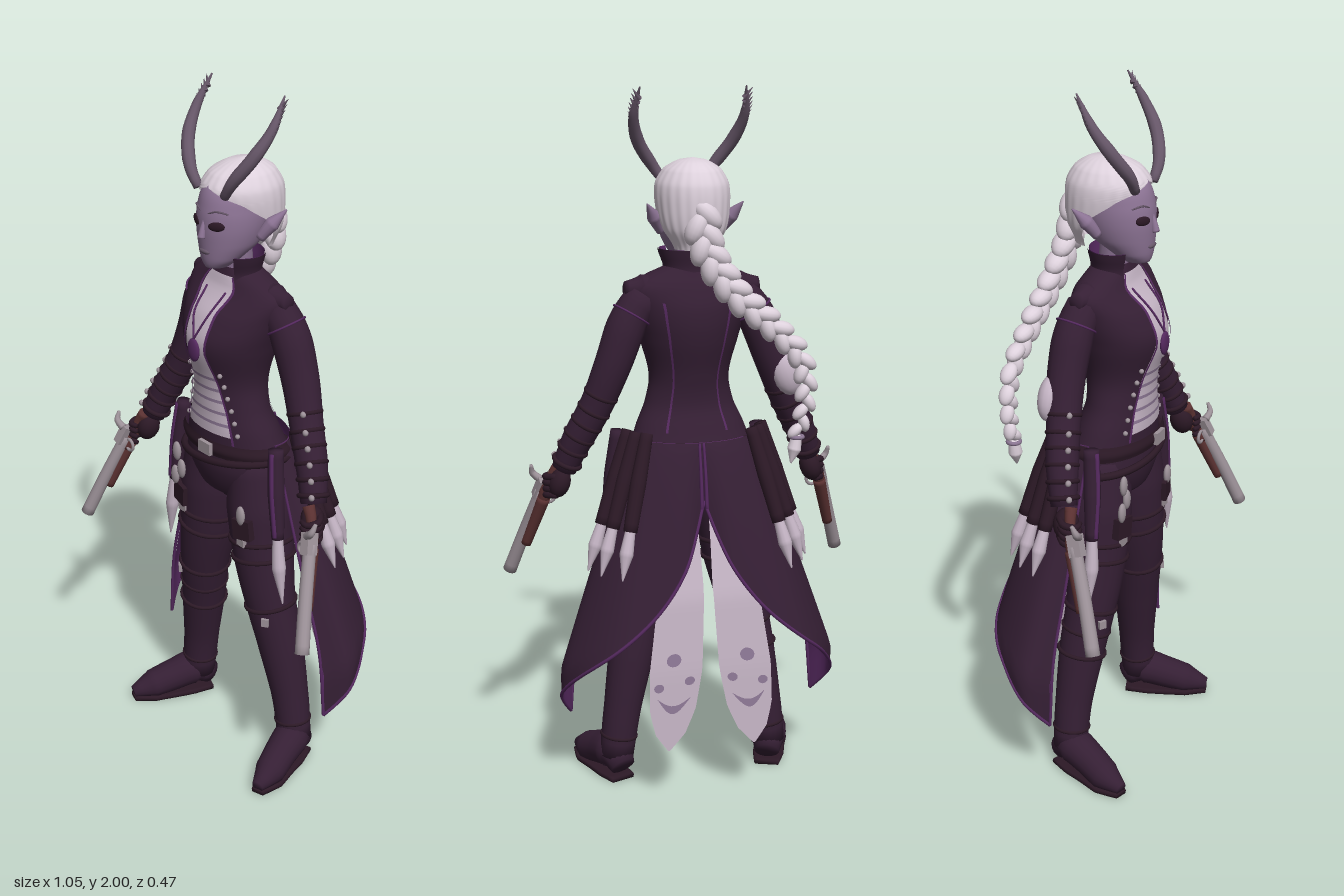
import * as THREE from 'three';
import { mergeVertices } from 'three/addons/utils/BufferGeometryUtils.js';
const V = (p) => new THREE.Vector3(...p);
const { lerp, clamp } = THREE.MathUtils;
const curveOf = (points) => new THREE.CatmullRomCurve3(points.map(V));
function makeMat(name, color, open) {
  const m = new THREE.MeshStandardMaterial({ color });
  m.name = name;
  if (open) m.side = THREE.DoubleSide;
  return m;
}
// piecewise linear lookup in [[x, value], ...]
function lin(table, x) {
  for (let i = 0; i < table.length - 1; i++) {
    const [a, p] = table[i], [b, q] = table[i + 1];
    if (x <= b) return lerp(p, q, clamp((x - a) / (b - a), 0, 1));
  }
  return table[table.length - 1][1];
}
function smooth(g) {
  g.deleteAttribute('normal');
  g.deleteAttribute('uv');
  g = mergeVertices(g, 1e-5);
  g.computeVertexNormals();
  return g;
}
// surface from a function of u and v; its front is du x dv
function grid(fn, nu, nv, flip) {
  const pos = [], idx = [];
  for (let j = 0; j <= nv; j++) for (let i = 0; i <= nu; i++) pos.push(...fn(i / nu, j / nv));
  for (let j = 0; j < nv; j++) for (let i = 0; i < nu; i++) {
    const a = j * (nu + 1) + i, b = a + 1, c = a + nu + 1, d = c + 1;
    idx.push(...(flip ? [a, d, b, a, c, d] : [a, b, d, a, d, c]));
  }
  const g = new THREE.BufferGeometry();
  g.setAttribute('position', new THREE.Float32BufferAttribute(pos, 3));
  g.setIndex(idx);
  return smooth(g);
}
// body from level ellipses [y, centre z, half width, half depth]; angle 0 is the front
function ellipseAt(rows, y, grow) {
  let i = 0;
  while (i < rows.length - 2 && y > rows[i + 1][0]) i++;
  const t = (y - rows[i][0]) / (rows[i + 1][0] - rows[i][0]), t2 = t * t, t3 = t2 * t;
  return [1, 2, 3].map((k) => {
    const p = [i - 1, i, i + 1, i + 2].map((n) => rows[clamp(n, 0, rows.length - 1)][k]);
    const v = (2 * t3 - 3 * t2 + 1) * p[1] + (t3 - 2 * t2 + t) * (p[2] - p[0]) / 2 + (3 * t2 - 2 * t3) * p[2] + (t3 - t2) * (p[3] - p[1]) / 2;
    return k === 1 ? v : Math.max(0.001, v + grow);
  });
}
function loft(rows, { y0 = rows[0][0], y1 = rows[rows.length - 1][0], lo = () => 0, hi = () => Math.PI * 2, grow = 0, ridge = 0, nu = 40, nv = 40 } = {}) {
  return grid((u, v) => {
    const y = lerp(y0, y1, v), a = lerp(lo(y), hi(y), u), [cz, rx, rz] = ellipseAt(rows, y, grow);
    const k = 1 + ridge * Math.cos(a * 22);
    return [rx * k * Math.sin(a), y, cz + rz * k * Math.cos(a)];
  }, nu, nv);
}
// tapered rod along a curve with closed ends
function sweep(points, radii, n = 12, seg = 24) {
  const c = curveOf(points), g = new THREE.TubeGeometry(c, seg, 1, n), p = g.attributes.position, v = new THREE.Vector3();
  const rt = radii.map((r, i) => [i / (radii.length - 1), r]);
  for (let k = 0; k < p.count; k++) {
    const ring = Math.floor(k / (n + 1)), t = ring / seg;
    const end = ring <= 1 ? 0 : ring >= seg - 1 ? 1 : t;
    const r = ring === 0 || ring === seg ? 0 : lin(rt, end);
    v.fromBufferAttribute(p, k).sub(c.getPointAt(t)).multiplyScalar(r).add(c.getPointAt(end));
    p.setXYZ(k, v.x, v.y, v.z);
  }
  return smooth(g);
}
const put = (g, pos, scale = [1, 1, 1], rot = [0, 0, 0]) =>
  g.applyMatrix4(new THREE.Matrix4().compose(V(pos), new THREE.Quaternion().setFromEuler(new THREE.Euler(...rot)), V(scale)));
const ball = (pos, scale, rot) => put(new THREE.SphereGeometry(1, 16, 10), pos, scale, rot);
const box = (pos, size, rot) => put(new THREE.BoxGeometry(...size), pos, undefined, rot);
function ringAt(points, t, R, r) {
  const c = curveOf(points), p = c.getPointAt(t), g = new THREE.TorusGeometry(R, r, 8, 24);
  return g.applyQuaternion(new THREE.Quaternion().setFromUnitVectors(V([0, 0, 1]), c.getTangentAt(t))).translate(p.x, p.y, p.z);
}
// coat tail: u runs from the middle of the back round to the front edge, along this hem
const hemCurve = curveOf([[0, 0.87, -0.165], [0.07, 0.7, -0.238], [0.17, 0.57, -0.246], [0.28, 0.47, -0.222], [0.365, 0.38, -0.14], [0.402, 0.3, -0.06], [0.365, 0.22, 0.005]]);
function coatAt(u, y, off = 0) {
  const a = Math.PI * (1 - 0.54 * u), h = hemCurve.getPoint(u);
  const f = Math.pow(clamp((1.03 - y) / lerp(0.5, 0.68, u), 0, 1), lerp(0.7, 1, u));
  return [Math.max(0, lerp(0.175 * Math.sin(a), h.x, f) + off * Math.sin(a)), y, lerp(0.02 + 0.12 * Math.cos(a), h.z, f) + off * Math.cos(a)];
}
const tail = (off) => (u, v) => coatAt(u, lerp(1.03, hemCurve.getPoint(u).y, v), off);
// pale hanging panel behind the legs
function panelAt(u, v, dz = 0) {
  const y = lerp(0.95, 0.17, v);
  const c = lin([[0, 0.05], [0.5, 0.085], [0.8, 0.108], [1, 0.125]], v);
  const w = lin([[0, 0.03], [0.4, 0.065], [0.7, 0.076], [0.85, 0.066], [0.94, 0.042], [1, 0.003]], v);
  return [c + (u * 2 - 1) * w, y, lin([[0.17, -0.228], [0.4, -0.214], [0.6, -0.19], [0.75, -0.145], [0.95, -0.07]], y) + dz];
}

export function createModel() {
  const M = {
    coat: makeMat('dark plum cloth', 0x351f34), purple: makeMat('purple lining', 0x55295f, true),
    skin: makeMat('lilac skin', 0x8d7495), hair: makeMat('silver hair', 0xddd1dc, true),
    pale: makeMat('pale fabric', 0xc4b4c4, true), spot: makeMat('mauve markings', 0x8d7895, true),
    leather: makeMat('dark leather', 0x2c1926), metal: makeMat('dull metal', 0x9d9299),
    wood: makeMat('red wood', 0x5c3232), horn: makeMat('grey horn', 0x675769),
  };
  const model = new THREE.Group();
  const add = (name, g, mat) => {
    const m = new THREE.Mesh(g, mat);
    m.name = name;
    model.add(m);
  };
  const pair = (name, g, mat) => {
    const h = g.clone().scale(-1, 1, 1), ix = h.index ? h.index.array : [];
    for (let i = 0; i < ix.length; i += 3) [ix[i], ix[i + 1]] = [ix[i + 1], ix[i]];
    add(name + 'Left', g, mat);
    add(name + 'Right', h, mat);
  };

  // torso: jacket, shirt front, seams
  const torso = [[0.98, 0.025, 0.18, 0.115], [1.06, 0.04, 0.155, 0.1], [1.12, 0.05, 0.128, 0.09], [1.2, 0.05, 0.115, 0.097],
    [1.32, 0.05, 0.145, 0.125], [1.4, 0.035, 0.168, 0.112], [1.46, 0.02, 0.18, 0.078], [1.49, 0.022, 0.13, 0.062], [1.52, 0.025, 0.06, 0.05]];
  add('jacket', loft(torso), M.coat);
  const open = (y) => lin([[1.05, 0.62], [1.12, 0.62], [1.2, 0.5], [1.3, 0.28], [1.42, 0.28], [1.5, 0.42]], y);
  add('shirtFront', loft(torso, { y0: 1.05, y1: 1.5, lo: (y) => -open(y), hi: open, grow: 0.004, nu: 16 }), M.pale);
  for (let y = 1.08; y < 1.24; y += 0.034)
    add('shirtBand', loft(torso, { y0: y, y1: y + 0.009, lo: (q) => -open(q), hi: open, grow: 0.007, nu: 12, nv: 1 }), M.spot);
  pair('jacketEdge', loft(torso, { y0: 1.03, y1: 1.5, lo: (y) => open(y) - 0.02, hi: (y) => open(y) + 0.03, grow: 0.008, nu: 2 }), M.purple);
  pair('backSeam', loft(torso, { y0: 1.05, y1: 1.42, lo: () => 2.55, hi: () => 2.6, grow: 0.003, nu: 1 }), M.purple);
  for (let y = 1.06; y < 1.25; y += 0.035) {
    const a = open(y) + 0.13, [cz, rx, rz] = ellipseAt(torso, y, 0.004);
    pair('button', ball([rx * Math.sin(a), y, cz + rz * Math.cos(a)], [0.007, 0.007, 0.007]), M.metal);
  }
  pair('necklace', sweep([[0.04, 1.46, 0.1], [0.028, 1.4, 0.155], [0, 1.335, 0.18]], [0.003, 0.003], 6, 12), M.purple);
  add('pendant', ball([0, 1.302, 0.181], [0.024, 0.034, 0.009]), M.purple);

  // neck and standing collar
  add('neck', sweep([[0, 1.44, 0.03], [0, 1.52, 0.03], [0, 1.6, 0.04]], [0.055, 0.045, 0.048]), M.skin);
  const collar = [[1.45, 0.025, 0.1, 0.075], [1.5, 0.03, 0.076, 0.064], [1.56, 0.034, 0.092, 0.076]];
  const span = { lo: () => 0.72, hi: () => Math.PI * 2 - 0.72, nv: 8 };
  add('collar', loft(collar, span), M.coat);
  add('collarLining', loft(collar, { ...span, grow: -0.004 }), M.purple);

  // head and face
  add('head', loft([[1.522, 0.1, 0.006, 0.008], [1.528, 0.095, 0.03, 0.036], [1.55, 0.082, 0.054, 0.057], [1.59, 0.055, 0.078, 0.088],
    [1.64, 0.043, 0.091, 0.102], [1.69, 0.035, 0.093, 0.105], [1.74, 0.024, 0.084, 0.096], [1.785, 0.012, 0.04, 0.05]]), M.skin);
  add('nose', sweep([[0, 1.665, 0.138], [0, 1.635, 0.146], [0, 1.615, 0.15]], [0.005, 0.008, 0.011]), M.skin);
  add('lips', ball([0, 1.576, 0.14], [0.021, 0.007, 0.007]), M.horn);
  pair('eye', ball([0.042, 1.653, 0.132], [0.025, 0.013, 0.006], [0, 0.42, 0.12]), M.leather);
  pair('brow', sweep([[0.015, 1.684, 0.138], [0.042, 1.694, 0.131], [0.066, 1.688, 0.111]], [0.002, 0.003, 0.002], 6), M.horn);
  pair('ear', sweep([[0.085, 1.61, 0.02], [0.106, 1.645, 0.002], [0.135, 1.69, -0.03]], [0.014, 0.02, 0.002]), M.skin);

  // swept hair and braid
  const face = (y) => lin([[1.6, 1.75], [1.66, 1.5], [1.71, 0.95], [1.735, 0.4], [1.75, 0]], y);
  add('hair', loft([[1.565, -0.02, 0.06, 0.065], [1.62, -0.012, 0.09, 0.092], [1.68, 0.004, 0.102, 0.115], [1.74, 0.012, 0.101, 0.118],
    [1.78, 0.01, 0.078, 0.092], [1.803, 0.005, 0.042, 0.05], [1.81, 0.004, 0.002, 0.002]],
  { lo: face, hi: (y) => Math.PI * 2 - face(y), ridge: 0.008, nu: 110 }), M.hair);
  const braid = curveOf([[0, 1.66, -0.09], [-0.02, 1.56, -0.105], [-0.09, 1.45, -0.125], [-0.19, 1.36, -0.135], [-0.275, 1.26, -0.145], [-0.285, 1.14, -0.15], [-0.265, 1.06, -0.15]]);
  for (let i = 0; i < 26; i++) {
    const t = i / 25, p = braid.getPointAt(t), d = braid.getTangentAt(t), r = lerp(0.036, 0.018, t), s = i % 2 ? 1 : -1;
    add('braidStrand', ball([p.x - d.y * s * r * 0.5, p.y + d.x * s * r * 0.5, p.z], [r * 0.85, r * 1.45, r], [0, 0, Math.atan2(d.y, d.x) - Math.PI / 2 + s * 0.55]), M.hair);
  }
  add('braidTie', put(new THREE.TorusGeometry(0.017, 0.006, 8, 16), [-0.262, 1.045, -0.15], undefined, [Math.PI / 2, 0, 0]), M.spot);
  add('braidEnd', sweep([[-0.262, 1.05, -0.15], [-0.255, 1.01, -0.15], [-0.245, 0.97, -0.152]], [0.014, 0.02, 0.002]), M.hair);

  // feathered horns
  const hornPts = [[0.055, 1.735, 0.115], [0.088, 1.78, 0.115], [0.135, 1.85, 0.085], [0.156, 1.92, 0.04], [0.148, 2.0, -0.008]];
  pair('horn', sweep(hornPts, [0.013, 0.018, 0.018, 0.013, 0.002], 10, 32), M.horn);
  for (let t = 0.15; t < 0.94; t += 0.045) {
    const p = curveOf(hornPts).getPointAt(t), r = 0.018 * (1 - t * 0.6);
    pair('hornBarb', put(new THREE.ConeGeometry(0.008, 0.04, 5), [p.x + r * 0.7, p.y + 0.006, p.z - r * 0.5], undefined, [-0.4, 0, -0.6]), M.horn);
  }

  // sleeves, bracers, gloves
  const arm = [[0.14, 1.43, 0.01], [0.182, 1.37, 0], [0.228, 1.25, -0.003], [0.275, 1.13, 0.012], [0.33, 1.02, 0.037], [0.362, 0.94, 0.058]];
  pair('sleeve', sweep(arm, [0.05, 0.056, 0.052, 0.047, 0.045, 0.036], 16, 32), M.coat);
  pair('shoulder', sweep([[0.09, 1.462, 0.015], [0.145, 1.452, 0.012], [0.192, 1.455, 0.008]], [0.03, 0.04, 0.02], 14), M.coat);
  pair('shoulderTrim', ringAt(arm, 0.11, 0.055, 0.003), M.purple);
  [0.55, 0.64, 0.72, 0.8, 0.88, 0.96].forEach((t, i) => {
    const p = curveOf(arm).getPointAt(t);
    pair('bracerStrap', ringAt(arm, t, 0.044 - i * 0.001, 0.007), M.leather);
    pair('bracerStud', ball([p.x + 0.03, p.y + 0.014, p.z + 0.033], [0.009, 0.009, 0.008]), M.metal);
  });
  add('elbowWrap', ball([-0.264, 1.2, -0.032], [0.042, 0.065, 0.034], [0, 0, -0.35]), M.pale);
  pair('glove', ball([0.374, 0.895, 0.07], [0.031, 0.045, 0.036], [0, 0, 0.3]), M.leather);
  for (let y = 0.915; y > 0.86; y -= 0.018)
    pair('finger', sweep([[0.385, y, 0.055], [0.412, y - 0.005, 0.085], [0.4, y - 0.008, 0.115], [0.375, y - 0.008, 0.112]], [0.01, 0.01, 0.009, 0.007], 8, 12), M.leather);

  // pistols
  pair('pistolGrip', sweep([[0.372, 0.945, 0.085], [0.388, 0.92, 0.09], [0.404, 0.88, 0.1], [0.422, 0.82, 0.118]], [0.017, 0.014, 0.018, 0.018]), M.wood);
  pair('pistolStock', sweep([[0.415, 0.84, 0.108], [0.462, 0.69, 0.162]], [0.019, 0.015]), M.wood);
  pair('pistolBarrel', sweep([[0.42, 0.86, 0.12], [0.462, 0.73, 0.17], [0.505, 0.595, 0.217]], [0.018, 0.019, 0.02], 14), M.metal);
  pair('pistolLock', box([0.422, 0.865, 0.125], [0.028, 0.06, 0.038], [-0.35, 0, 0.3]), M.metal);
  pair('pistolHammer', sweep([[0.42, 0.89, 0.13], [0.442, 0.91, 0.135], [0.447, 0.935, 0.125]], [0.012, 0.01, 0.005], 8), M.metal);
  pair('triggerGuard', put(new THREE.TorusGeometry(0.018, 0.005, 6, 16), [0.398, 0.84, 0.125]), M.metal);

  // hips and legs
  add('hips', loft([[0.82, 0.03, 0.03, 0.045], [0.86, 0.03, 0.12, 0.09], [0.93, 0.03, 0.172, 0.112], [1.0, 0.028, 0.175, 0.115]]), M.coat);
  const leg = [[0.09, 0.97, 0.03], [0.104, 0.85, 0.03], [0.12, 0.7, 0.033], [0.15, 0.54, 0.032], [0.182, 0.38, 0.015], [0.215, 0.2, 0.002], [0.232, 0.07, 0]];
  pair('leg', sweep(leg, [0.085, 0.098, 0.088, 0.073, 0.066, 0.055, 0.05], 20, 40), M.coat);
  [[0.27, 0.092, 0.007], [0.33, 0.089, 0.007], [0.5, 0.073, 0.007], [0.93, 0.05, 0.006]].forEach(([t, R, r]) => pair('legStrap', ringAt(leg, t, R, r), M.leather));
  [0.58, 0.66].forEach((t) => add('bootStrapRight', ringAt(leg.map(([x, y, z]) => [-x, y, z]), t, 0.068, 0.006), M.leather));
  pair('thighBuckle', box([0.135, 0.74, 0.124], [0.03, 0.022, 0.012]), M.metal);
  pair('legBuckle', box([0.2, 0.49, 0.09], [0.022, 0.024, 0.012], [0, 0.6, 0]), M.metal);
  pair('thighPouch', box([0.14, 0.785, 0.12], [0.06, 0.06, 0.03], [0, 0.2, 0.1]), M.leather);

  // boots, flattened onto the ground
  const foot = [[0.22, 0.045, -0.035], [0.237, 0.075, 0.01], [0.262, 0.06, 0.08], [0.286, 0.04, 0.14], [0.307, 0.025, 0.205]];
  const flat = (g, lo, hi) => {
    const p = g.attributes.position;
    for (let i = 0; i < p.count; i++) p.setY(i, clamp(p.getY(i), lo, hi));
    g.computeVertexNormals();
    return g;
  };
  pair('boot', flat(sweep(foot, [0.037, 0.054, 0.049, 0.045, 0.018], 16), 0.01, 1), M.coat);
  pair('sole', flat(sweep(foot.map(([x, , z]) => [x, 0.008, z]), [0.038, 0.047, 0.046, 0.046, 0.02], 16), 0, 0.014), M.leather);

  // coat tails with lining and edging
  pair('coatTail', grid(tail(0), 32, 24), M.coat);
  pair('coatLining', grid(tail(-0.005), 32, 24, true), M.purple);
  pair('hemTrim', sweep([...Array(13)].map((_, i) => tail(0)(i / 12, 1)), [0.005, 0.005], 6, 48), M.purple);
  pair('frontTrim', sweep([0, 0.25, 0.5, 0.75, 1].map((v) => tail(0)(1, v)), [0.004, 0.005], 6), M.purple);
  pair('slitTrim', sweep([0, 0.5, 1].map((v) => tail(0.003)(0.02, v)), [0.004, 0.006], 6), M.purple);

  // pale panels with thin markings on both faces
  pair('panel', grid(panelAt, 12, 32), M.pale);
  for (const dz of [-0.003, 0.003]) {
    for (const [u, v, ru, rv] of [[0.56, 0.66, 0.14, 0.024], [0.22, 0.74, 0.1, 0.016], [0.82, 0.76, 0.1, 0.016]])
      pair('panelSpot', grid((s, r) => panelAt(u + ru * r * Math.cos(s * 6.2832), v + rv * r * Math.sin(s * 6.2832), dz), 18, 2), M.spot);
    pair('panelCrescent', grid((s, r) => panelAt(0.15 + 0.7 * s, 0.8 + Math.sin(s * Math.PI) * (0.03 + 0.03 * r), dz), 14, 2), M.spot);
  }

  // belts and hanging gear
  add('belt', loft([[0.985, 0.025, 0.186, 0.126], [1.005, 0.027, 0.19, 0.13], [1.03, 0.03, 0.18, 0.122]], { nv: 8 }), M.leather);
  add('slungBelt', put(new THREE.TorusGeometry(1, 0.07, 8, 48), [0, 0.965, 0.028], [0.185, 0.128, 0.16], [Math.PI / 2, 0.12, 0]), M.leather);
  add('buckle', box([0.02, 1.008, 0.16], [0.05, 0.035, 0.012]), M.metal);
  [[-0.15, 0.92], [-0.13, 0.87], [-0.16, 0.84], [0.14, 0.83]].forEach(([x, y]) => add('trinket', ball([x, y, 0.132], [0.016, 0.03, 0.01]), M.metal));
  for (const u of [0.5, 0.63, 0.76]) {
    pair('cartridgeCase', sweep([coatAt(u, 1.06, 0.025), coatAt(u, 0.92, 0.025), coatAt(u, 0.8, 0.022)], [0.018, 0.023, 0.02]), M.leather);
    pair('spike', sweep([coatAt(u, 0.81, 0.022), coatAt(u, 0.75, 0.022), coatAt(u, 0.67, 0.02)], [0.014, 0.02, 0.002]), M.pale);
  }
  pair('sheath', sweep([[0.205, 1.04, 0.06], [0.22, 0.92, 0.07], [0.236, 0.78, 0.076]], [0.022, 0.024, 0.018]), M.coat);
  pair('sheathStripe', sweep([[0.212, 1.035, 0.08], [0.226, 0.92, 0.09], [0.24, 0.79, 0.09]], [0.007, 0.007], 8), M.purple);
  pair('blade', sweep([[0.235, 0.8, 0.076], [0.246, 0.7, 0.08], [0.262, 0.58, 0.078]], [0.014, 0.02, 0.002]), M.pale);
  return model;
}
